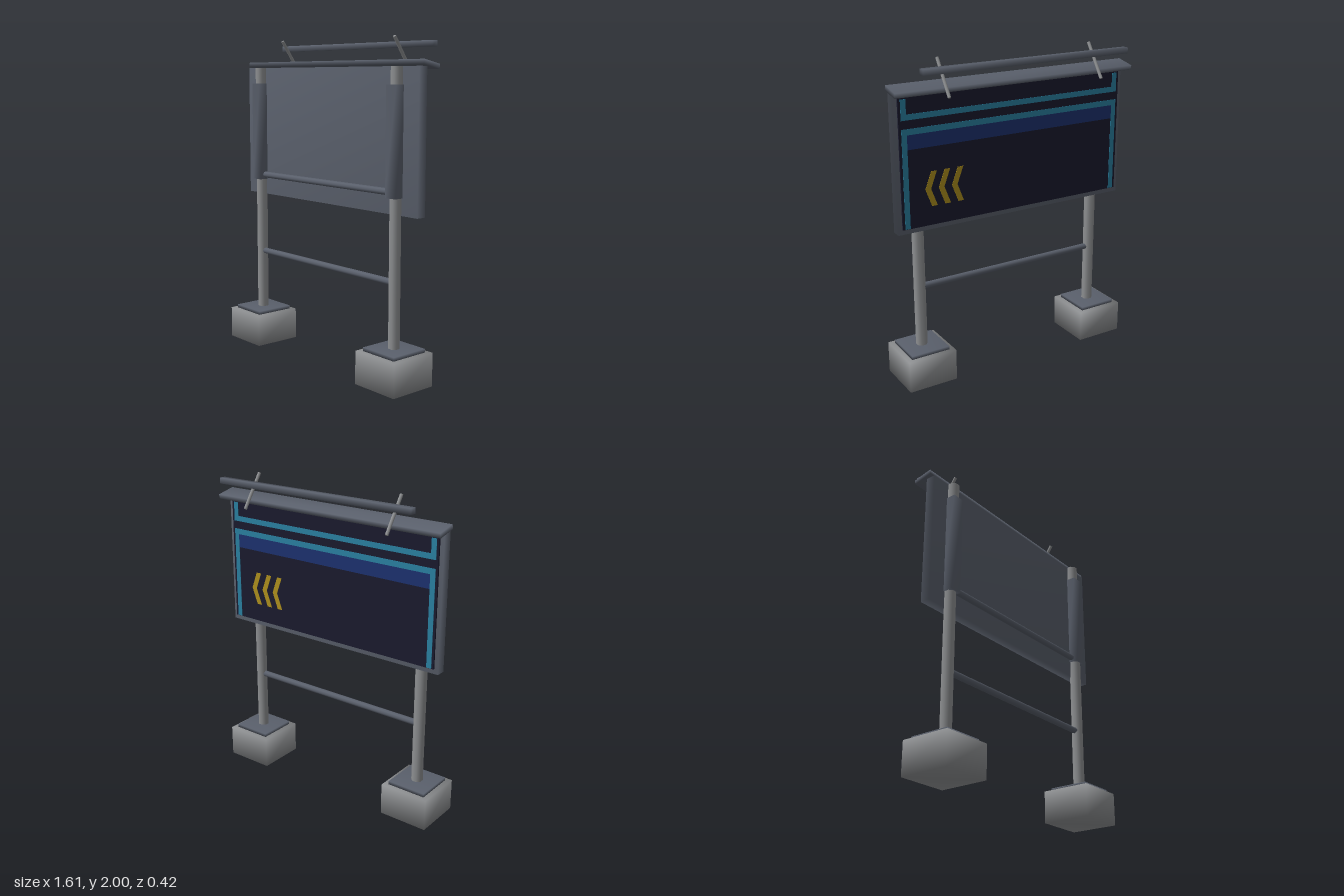
import * as THREE from 'three';
import { mergeVertices } from 'three/addons/utils/BufferGeometryUtils.js';

const mat = (name, color) => {
  const m = new THREE.MeshStandardMaterial({ color });
  m.name = name;
  return m;
};

export function createModel() {
  const model = new THREE.Group();
  model.name = 'roadsideSign';

  const slate = mat('slate steel', 0x5a606c);
  const grey = mat('light grey', 0x8e9092);
  const navy = mat('navy', 0x1a1a2e);
  const cyan = mat('cyan', 0x2a81a2);
  const blue = mat('blue', 0x1d3270);
  const yellow = mat('yellow', 0xb0911e);

  const add = (name, geo, material, x, y, z) => {
    const mesh = new THREE.Mesh(geo, material);
    mesh.name = name;
    mesh.position.set(x, y, z);
    model.add(mesh);
    return mesh;
  };

  // Box with shared corners, so it shades softly
  const softBox = (w, h, d) => {
    const g = new THREE.BoxGeometry(w, h, d);
    g.deleteAttribute('normal');
    g.deleteAttribute('uv');
    const merged = mergeVertices(g);
    merged.computeVertexNormals();
    return merged;
  };

  const postZ = 0.055;

  // Footings, base plates, posts, sleeves and lamp arms, mirrored
  for (const s of [-1, 1]) {
    const x = s * 0.63;
    add('footing', softBox(0.315, 0.2, 0.31), grey, x, 0.1, postZ);
    add('basePlate', softBox(0.25, 0.022, 0.25), slate, x, 0.211, postZ);
    const post = new THREE.CylinderGeometry(0.036, 0.036, 1.6, 8);
    post.rotateY(Math.PI / 8);
    add('post', post, grey, x, 1.02, postZ);
    add('postSleeve', softBox(0.078, 0.63, 0.075), slate, x, 1.405, 0.0605);

    const top = new THREE.Vector3(0, 1.99, -0.038);
    const low = new THREE.Vector3(0, 1.79, -0.175);
    const dir = top.clone().sub(low);
    const arm = add('lampArm', new THREE.CylinderGeometry(0.01, 0.01, dir.length(), 8), grey,
      s * 0.515, (top.y + low.y) / 2, (top.z + low.z) / 2);
    arm.quaternion.setFromUnitVectors(new THREE.Vector3(0, 1, 0), dir.normalize());
  }

  // Cross bars between the posts
  for (const y of [0.605, 1.12]) {
    const bar = new THREE.CylinderGeometry(0.02, 0.02, 1.22, 8);
    bar.rotateZ(Math.PI / 2);
    add('crossBar', bar, slate, 0, y, postZ);
  }

  // Board, sloping cap and lamp
  add('board', softBox(1.57, 0.83, 0.061), slate, 0, 1.405, 0.0085);
  const cap = add('cap', softBox(1.61, 0.029, 0.125), slate, 0, 1.83, -0.038);
  cap.rotation.x = -0.21;
  add('lampBar', softBox(1.37, 0.035, 0.042), slate, 0, 1.948, -0.186);

  // Sign face on the rear of the board
  add('signFace', new THREE.BoxGeometry(1.52, 0.77, 0.009), navy, 0, 1.405, -0.0265);

  const paint = (name, material, x0, x1, y0, y1) =>
    add(name, new THREE.BoxGeometry(x1 - x0, y1 - y0, 0.002), material,
      (x0 + x1) / 2, (y0 + y1) / 2, -0.032);

  // Painted borders and band
  paint('headerLine', cyan, -0.745, 0.745, 1.66, 1.693);
  paint('bodyLine', cyan, -0.745, 0.745, 1.575, 1.61);
  paint('band', blue, -0.712, 0.712, 1.49, 1.575);
  for (const s of [-1, 1]) {
    const a = Math.min(s * 0.712, s * 0.745);
    paint('headerSide', cyan, a, a + 0.033, 1.693, 1.78);
    paint('bodySide', cyan, a, a + 0.033, 1.022, 1.575);
  }

  // Three chevrons pointing to +x
  const chevron = new THREE.Shape([
    [0.04, 0], [0, 0.105], [-0.036, 0.105], [0.004, 0],
    [-0.036, -0.105], [0, -0.105],
  ].map(([x, y]) => new THREE.Vector2(x, y)));
  const chevronGeo = new THREE.ExtrudeGeometry(chevron, { depth: 0.002, bevelEnabled: false });
  for (let i = 0; i < 3; i++) {
    add('chevron', chevronGeo, yellow, 0.57 - i * 0.086, 1.24, -0.033);
  }

  return model;
}
